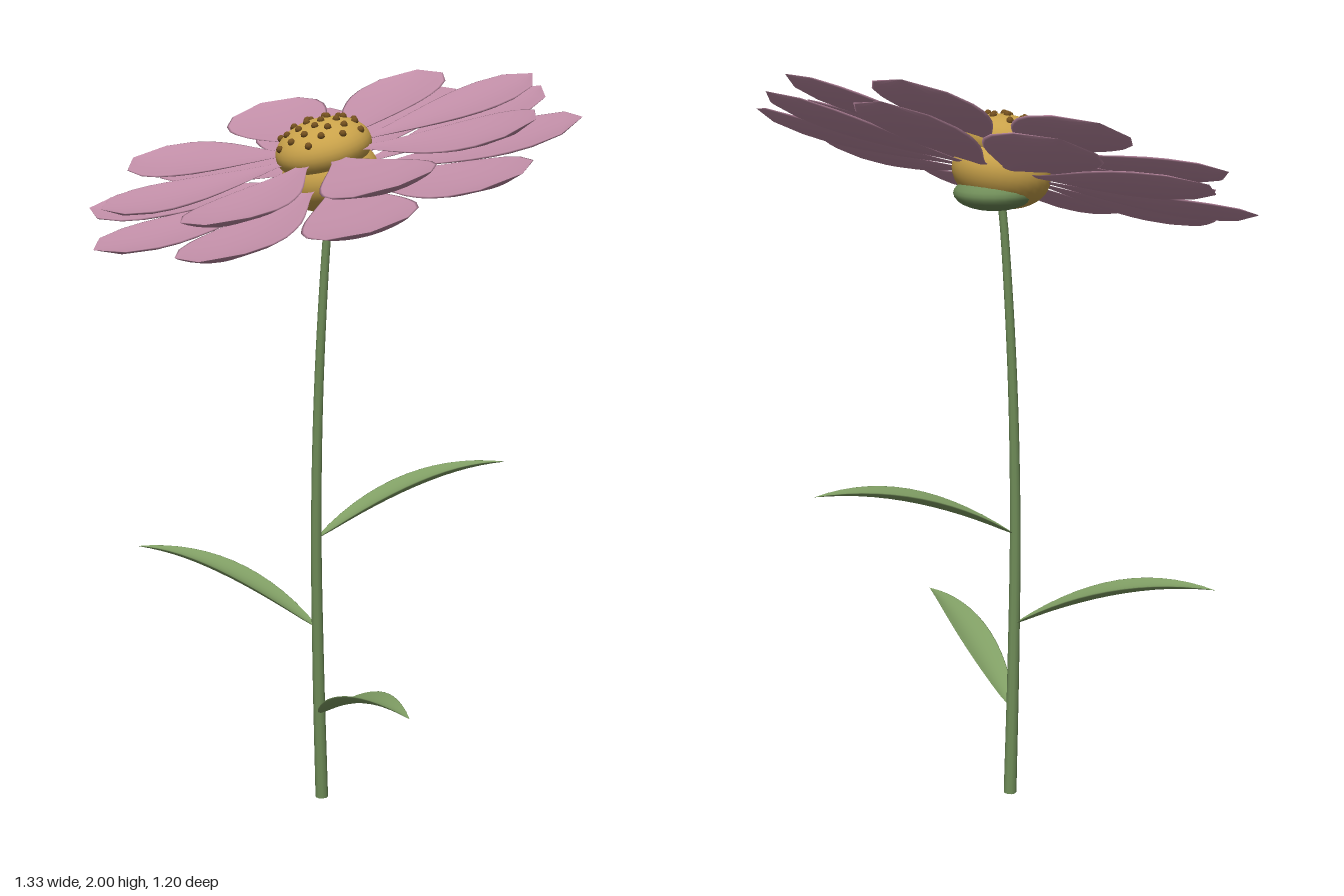
import * as THREE from 'three';

const mat = (name, color) => {
  const m = new THREE.MeshStandardMaterial({ color });
  m.name = name;
  return m;
};

// Thin solid blade along +x: profile rows are [fraction of length, half width],
// lift(t) bends it lengthwise, cup lowers the midrib below the edges.
function bladeGeometry(length, profile, lift, cup, thickness, n = 20) {
  const pos = [], idx = [];
  const widest = Math.max(...profile.map(r => r[1]));
  profile.forEach(([t, w], i) => {
    const k = w / widest;
    for (let j = 0; j < n; j++) {
      const a = (j / n) * Math.PI * 2, s = Math.cos(a);
      pos.push(t * length, lift(t) - cup * k * (1 - s * s) + 0.5 * thickness * k * Math.sin(a), s * w);
      if (i) {
        const a0 = (i - 1) * n + j, a1 = (i - 1) * n + (j + 1) % n;
        idx.push(a0, a0 + n, a1, a1, a0 + n, a1 + n);
      }
    }
  });
  const g = new THREE.BufferGeometry();
  g.setAttribute('position', new THREE.Float32BufferAttribute(pos, 3));
  g.setIndex(idx);
  g.computeVertexNormals();
  return g;
}

export function createModel() {
  const flower = new THREE.Group();
  flower.name = 'flower';
  const petalPink = mat('petal pink', 0xc08da6);
  const gold = mat('disc gold', 0xc9a24a);
  const brown = mat('floret brown', 0x765220);
  const stemGreen = mat('stem green', 0x6f8c58);
  const leafGreen = mat('leaf green', 0x809e64);

  const add = (parent, name, geo, material, x = 0, y = 0, z = 0) => {
    const m = new THREE.Mesh(geo, material);
    m.name = name;
    m.position.set(x, y, z);
    parent.add(m);
    return m;
  };

  // Stem: gently curved tube, thinner towards the top
  const curve = new THREE.CatmullRomCurve3([
    [-0.036, 0, -0.012], [-0.033, 0.4, 0.004], [-0.027, 0.8, 0.016],
    [-0.019, 1.2, 0.012], [-0.005, 1.6, -0.006], [0, 1.69, -0.015],
  ].map(p => new THREE.Vector3(...p)));
  const rings = 32, sides = 10;
  const stem = new THREE.TubeGeometry(curve, rings, 0.018, sides);
  const p = stem.attributes.position, v = new THREE.Vector3();
  for (let i = 0; i < p.count; i++) {
    const t = Math.floor(i / (sides + 1)) / rings;
    const c = curve.getPointAt(t);
    v.fromBufferAttribute(p, i).sub(c).multiplyScalar(1 - 0.42 * t).add(c);
    p.setXYZ(i, v.x, Math.max(0, v.y), v.z);
  }
  add(flower, 'stem', stem, stemGreen);
  const base = add(flower, 'stemBase', new THREE.CircleGeometry(0.018, sides), stemGreen, -0.036, 0.001, -0.012);
  base.rotation.x = Math.PI / 2;

  // Leaves: cupped blades rising from the stem
  const leafProfile = [];
  for (let i = 0; i <= 14; i++) {
    const t = i / 14;
    const swell = Math.max(0, Math.sin(Math.PI * Math.pow(t, 0.85)));
    leafProfile.push([t, 0.004 * (1 - t) + 0.047 * Math.pow(swell, 0.9)]);
  }
  const leafGeo = bladeGeometry(0.56, leafProfile, t => 0.415 * t - 0.245 * t * t, 0.02, 0.012);
  [[-0.033, 0.25, 0, 0.515, 0.18], [-0.034, 0.5, 0.008, -0.515, 0.22], [-0.026, 0.755, 0.014, 0.215, -0.51]]
    .forEach(([x, y, z, dx, dz], i) => {
      add(flower, 'leaf' + (i + 1), leafGeo, leafGreen, x, y, z).rotation.y = Math.atan2(-dz, dx);
    });

  // Calyx on top of the stem
  add(flower, 'calyx', new THREE.SphereGeometry(1, 24, 14), stemGreen, 0, 1.68, -0.036).scale.set(0.105, 0.045, 0.105);

  // Head: tilted towards the front
  const head = new THREE.Group();
  head.name = 'flowerHead';
  head.position.set(0, 1.757, 0);
  head.rotation.x = 0.32;
  flower.add(head);

  // Two rings of cupped petals with blunt, angular tips
  const petalProfile = [[0, 0.014], [0.1, 0.028], [0.2, 0.051], [0.3, 0.076], [0.4, 0.1],
    [0.5, 0.121], [0.6, 0.135], [0.68, 0.141], [0.78, 0.136], [0.91, 0.1], [1, 0]];
  const ring = (name, count, start, tip, height) => {
    const geo = bladeGeometry(tip - 0.1, petalProfile, t => -0.03 * (1 - t * t), 0.018, 0.016);
    geo.translate(0.1, 0, 0);
    for (let i = 0; i < count; i++) {
      const m = add(head, name + (i + 1), geo, petalPink, 0, height, 0);
      m.rotation.y = start + (i / count) * Math.PI * 2;
    }
  };
  ring('lowerPetal', 10, 0, 0.665, 0);
  ring('upperPetal', 8, Math.PI / 10, 0.6, 0.066);

  // Centre disc: rounded body with a dome on top
  const ball = new THREE.SphereGeometry(1, 32, 20);
  const R = 0.127, H = 0.075, domeY = 0.043;
  add(head, 'discBody', ball, gold, 0, -0.03, 0).scale.set(0.129, 0.09, 0.129);
  add(head, 'discDome', ball, gold, 0, domeY, 0).scale.set(R, H, R);

  // Florets: spiral of small beads over the dome
  const bead = new THREE.SphereGeometry(0.01, 7, 5);
  for (let i = 0; i < 28; i++) {
    const r = 0.116 * Math.sqrt((i + 0.5) / 28), a = i * 2.39996;
    add(head, 'floret' + (i + 1), bead, brown,
      r * Math.cos(a), domeY + H * Math.sqrt(1 - (r / R) ** 2) + 0.001, r * Math.sin(a));
  }
  return flower;
}
